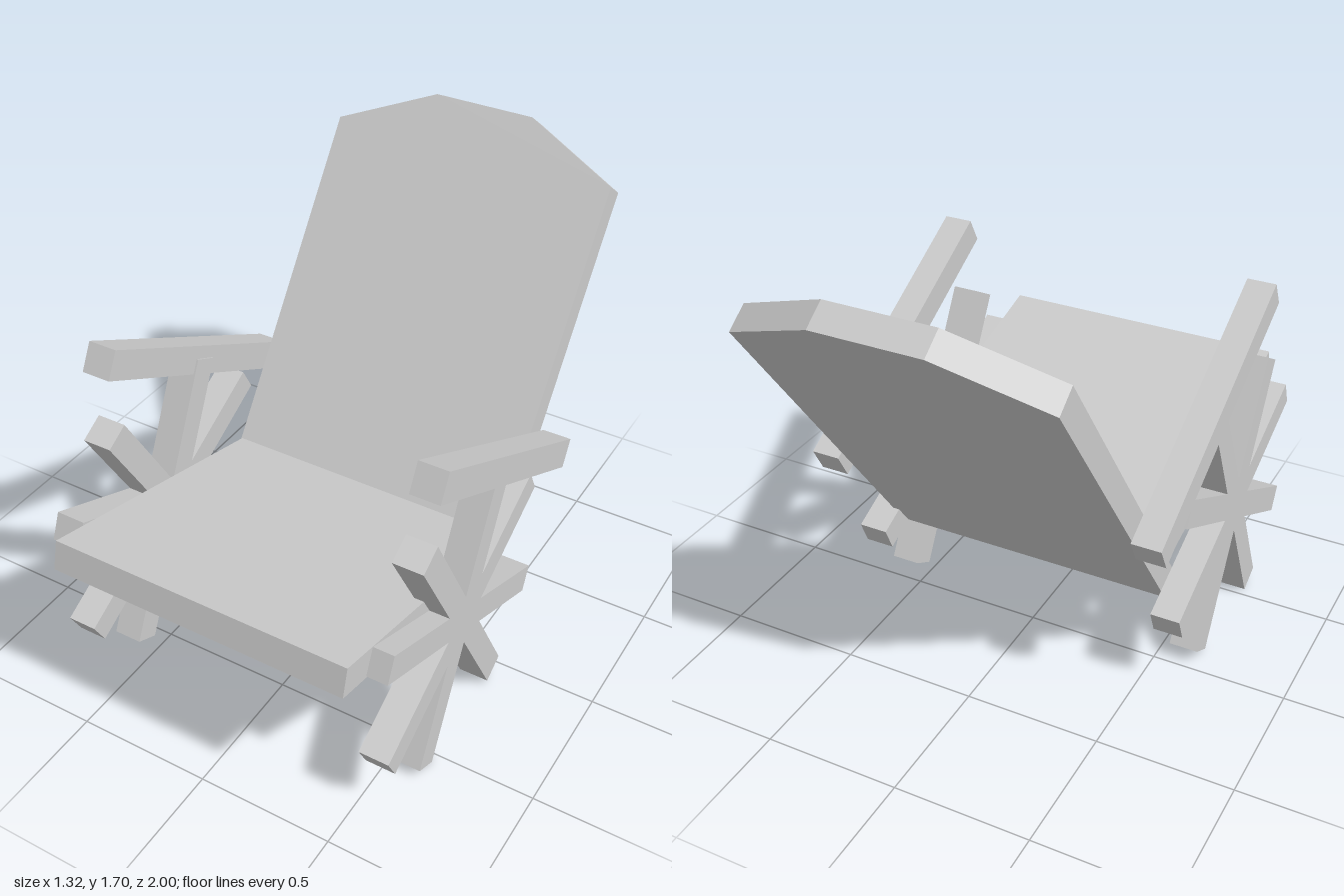
import * as THREE from 'three';

const material = new THREE.MeshStandardMaterial({ color: 0xcccccc, flatShading: true });

// Extrudes a side profile of [z, y] points across the chair, from x0 to x1.
function sidePanel(name, points, x0, x1) {
  const shape = new THREE.Shape(points.map(([z, y]) => new THREE.Vector2(z, y)));
  const geometry = new THREE.ExtrudeGeometry(shape, { depth: x1 - x0, bevelEnabled: false });
  geometry.rotateY(-Math.PI / 2).translate(x1, 0, 0);
  const mesh = new THREE.Mesh(geometry, material);
  mesh.name = name;
  return mesh;
}

// Outline of crossed bars sharing one centre: square bar ends with notches between.
function starOutline(cz, cy, angles, radius, half) {
  const all = [...angles, ...angles.map((a) => a + Math.PI)].sort((a, b) => a - b);
  const points = [];
  all.forEach((a, i) => {
    const next = i + 1 < all.length ? all[i + 1] : all[0] + 2 * Math.PI;
    const c = Math.cos(a), s = Math.sin(a);
    for (const h of [-half, half]) points.push([cz + radius * c - h * s, cy + radius * s + h * c]);
    const mid = (a + next) / 2, d = half / Math.sin((next - a) / 2);
    points.push([cz + d * Math.cos(mid), cy + d * Math.sin(mid)]);
  });
  return points;
}

export function createModel() {
  const group = new THREE.Group();
  group.name = 'deckChair';

  // Sloping seat slab
  group.add(sidePanel('seat', [[0.973, 0.823], [1, 0.72], [-0.062, 0.441], [-0.09, 0.543]], -0.535, 0.56));

  // Reclined backrest with clipped upper corners
  const length = 1.655, shoulder = 0.167, thickness = 0.101;
  const shape = new THREE.Shape([
    [-0.538, 0], [0.55, 0], [0.55, length - shoulder], [0.195, length],
    [-0.185, length], [-0.54, length - shoulder],
  ].map(([x, y]) => new THREE.Vector2(x, y)));
  const geometry = new THREE.ExtrudeGeometry(shape, { depth: thickness, bevelEnabled: false });
  geometry.translate(0, 0, -thickness);
  const back = new THREE.Mesh(geometry, material);
  back.name = 'backrest';
  back.position.set(0, 0.37, 0.057);
  back.rotation.x = -Math.atan2(0.971, 1.34);
  group.add(back);

  // Crossed legs, one flat star of four bars on each side
  const angles = [[-0.24, 0.49], [0.27, 0.475], [-0.485, 0.257], [0.507, 0.217]]
    .map(([z, y]) => Math.atan2(y, z));
  const star = starOutline(0.34, 0.52, angles, 0.548, 0.05);
  group.add(sidePanel('leftLegs', star, 0.525, 0.635));
  group.add(sidePanel('rightLegs', star, -0.657, -0.549));

  // Sloping armrests
  const arm = [[0.56, 1.315], [0.61, 1.222], [-0.355, 0.70], [-0.405, 0.793]];
  group.add(sidePanel('leftArmrest', arm, 0.553, 0.658));
  group.add(sidePanel('rightArmrest', arm, -0.663, -0.556));

  return group;
}
